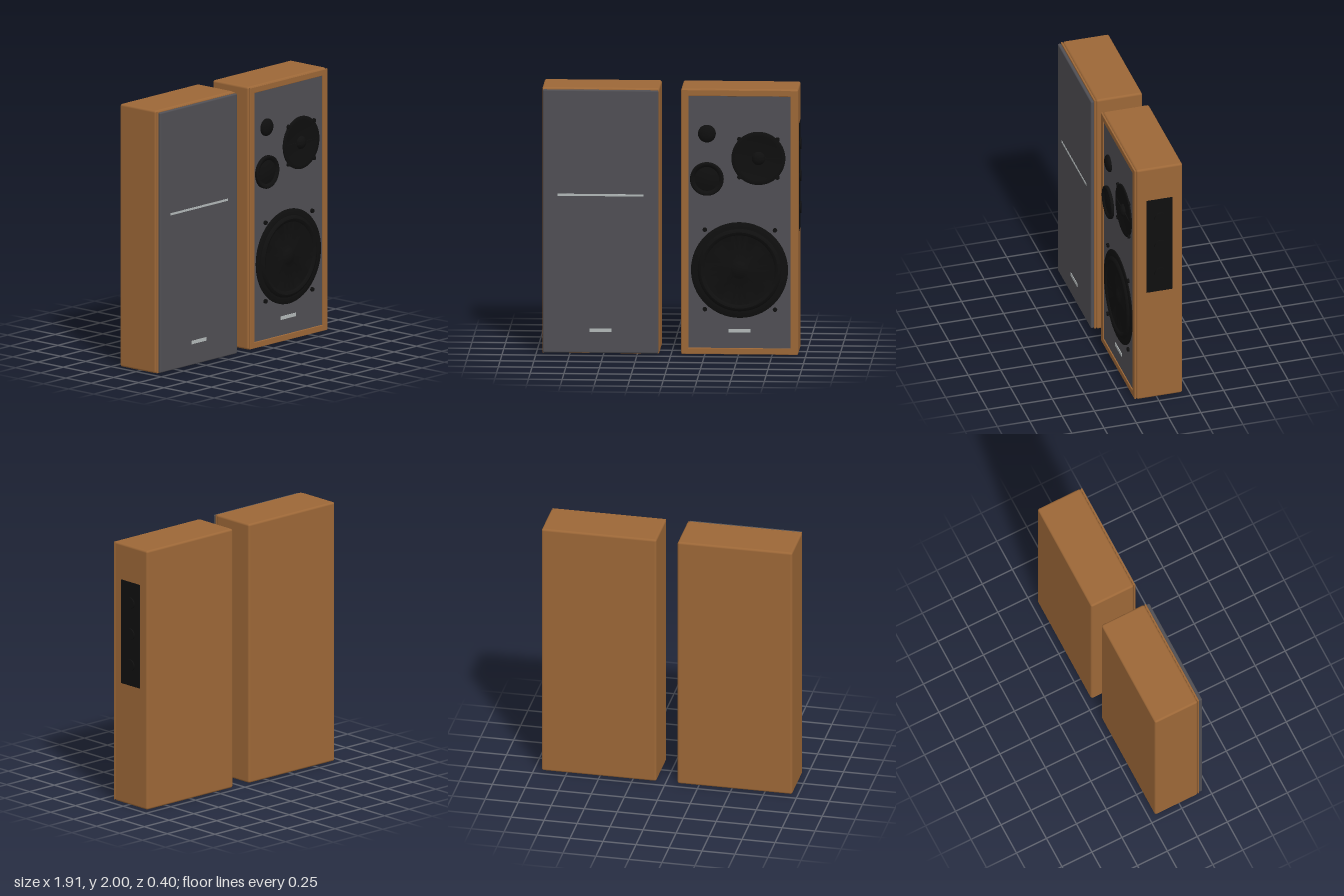
import * as THREE from 'three';
import { RoundedBoxGeometry } from 'three/addons/geometries/RoundedBoxGeometry.js';
import { toCreasedNormals } from 'three/addons/utils/BufferGeometryUtils.js';

const material = (name, color) => {
  const m = new THREE.MeshStandardMaterial({ color });
  m.name = name;
  return m;
};

export function createModel() {
  const wood = material('walnut wood', 0x9c6737);
  const grey = material('charcoal grey', 0x504f54);
  const black = material('black', 0x0f0f0f);
  const silver = material('silver', 0xb2b8b8);

  const model = new THREE.Group();
  model.name = 'speakerPair';

  const add = (parent, name, geometry, mat, x, y, z) => {
    const mesh = new THREE.Mesh(geometry, mat);
    mesh.name = name;
    mesh.position.set(x, y, z);
    parent.add(mesh);
    return mesh;
  };

  const rectangle = (Type, w, h) => {
    const s = new Type();
    s.moveTo(-w / 2, -h / 2);
    s.lineTo(w / 2, -h / 2);
    s.lineTo(w / 2, h / 2);
    s.lineTo(-w / 2, h / 2);
    s.closePath();
    return s;
  };

  // Cabinet shell, recessed seam, front frame and baffle, shared by both speakers
  const W = 0.87, H = 2, BAFFLE = 0.163;
  const frameShape = rectangle(THREE.Shape, W - 0.018, H - 0.018);
  frameShape.holes.push(rectangle(THREE.Path, 0.764, 1.904));
  const frameGeometry = new THREE.ExtrudeGeometry(frameShape, {
    depth: 0.006, bevelEnabled: true, bevelThickness: 0.004, bevelSize: 0.004, bevelSegments: 2,
  });

  const makeCabinet = (name, x) => {
    const g = new THREE.Group();
    g.name = name;
    g.position.x = x;
    model.add(g);
    add(g, 'cabinet', new RoundedBoxGeometry(W, H, 0.356, 4, 0.016), wood, 0, 1, -0.022);
    add(g, 'seam', new THREE.BoxGeometry(W - 0.03, H - 0.03, 0.012), wood, 0, 1, 0.154);
    add(g, 'frontFrame', frameGeometry, wood, 0, 1, 0.161);
    add(g, 'baffle', new THREE.BoxGeometry(0.77, 1.91, 0.008), grey, 0, 1, BAFFLE - 0.004);
    return g;
  };

  // Covered speaker with its cloth grille
  const covered = makeCabinet('coveredSpeaker', -0.522);
  add(covered, 'grille', new RoundedBoxGeometry(0.856, 1.98, 0.026, 4, 0.01), grey, 0, 1, 0.184);
  add(covered, 'trimLine', new THREE.BoxGeometry(0.636, 0.016, 0.004), silver, 0, 1.2, 0.198);
  add(covered, 'badge', new THREE.BoxGeometry(0.165, 0.026, 0.006), silver, 0, 0.183, 0.198);

  // Open speaker with exposed drivers
  const open = makeCabinet('openSpeaker', 0.508);
  add(open, 'badge', new THREE.BoxGeometry(0.165, 0.026, 0.006), silver, 0, 0.183, BAFFLE + 0.002);

  // Drivers: [radius, height] profiles turned to face forward
  const addDriver = (name, x, y, profile) => {
    const lathe = new THREE.LatheGeometry(profile.map(([r, h]) => new THREE.Vector2(r, h)), 64);
    lathe.rotateX(Math.PI / 2);
    add(open, name, toCreasedNormals(lathe, 0.6), black, x, y, BAFFLE);
  };
  addDriver('woofer', 0, 0.64, [
    [0.36, 0], [0.36, 0.006], [0.355, 0.009], [0.31, 0.009], [0.302, 0.02], [0.286, 0.026],
    [0.27, 0.02], [0.262, 0.012], [0.07, 0.003], [0.06, 0.008], [0.035, 0.017], [0, 0.021],
  ]);
  addDriver('midrange', 0.14, 1.482, [
    [0.2, 0], [0.2, 0.008], [0.193, 0.011], [0.17, 0.011], [0.16, 0.008], [0.05, 0.004],
    [0.045, 0.015], [0.03, 0.026], [0.015, 0.031], [0, 0.032],
  ]);
  addDriver('upperMidrange', -0.242, 1.325, [
    [0.125, 0], [0.125, 0.018], [0.119, 0.023], [0.108, 0.023], [0.1, 0.018],
    [0.09, 0.01], [0.06, 0.017], [0.03, 0.021], [0, 0.022],
  ]);
  addDriver('tweeter', -0.242, 1.665, [
    [0.066, 0], [0.066, 0.008], [0.06, 0.017], [0.046, 0.026], [0.025, 0.032], [0, 0.034],
  ]);
  add(open, 'midrangeBar', new THREE.BoxGeometry(0.34, 0.012, 0.006), black, 0.14, 1.482, BAFFLE + 0.009);

  // Mounting screws around the two large drivers
  const screw = new THREE.CylinderGeometry(0.015, 0.017, 0.016, 20);
  screw.rotateX(Math.PI / 2);
  for (const [x, y, dx, dy] of [[0.003, 0.642, 0.26, 0.299], [0.14, 1.482, 0.141, 0.143]]) {
    for (const sx of [-1, 1]) {
      for (const sy of [-1, 1]) add(open, 'screw', screw, black, x + sx * dx, y + sy * dy, BAFFLE + 0.007);
    }
  }

  // Side control panel with three knobs
  add(open, 'controlPanel', new THREE.BoxGeometry(0.009, 0.8, 0.2), black, 0.434, 1.324, -0.02);
  const knob = new THREE.CylinderGeometry(0.043, 0.043, 0.022, 32);
  knob.rotateZ(-Math.PI / 2);
  for (const y of [1.084, 1.324, 1.564]) add(open, 'knob', knob, black, 0.438, y, -0.025);

  return model;
}
